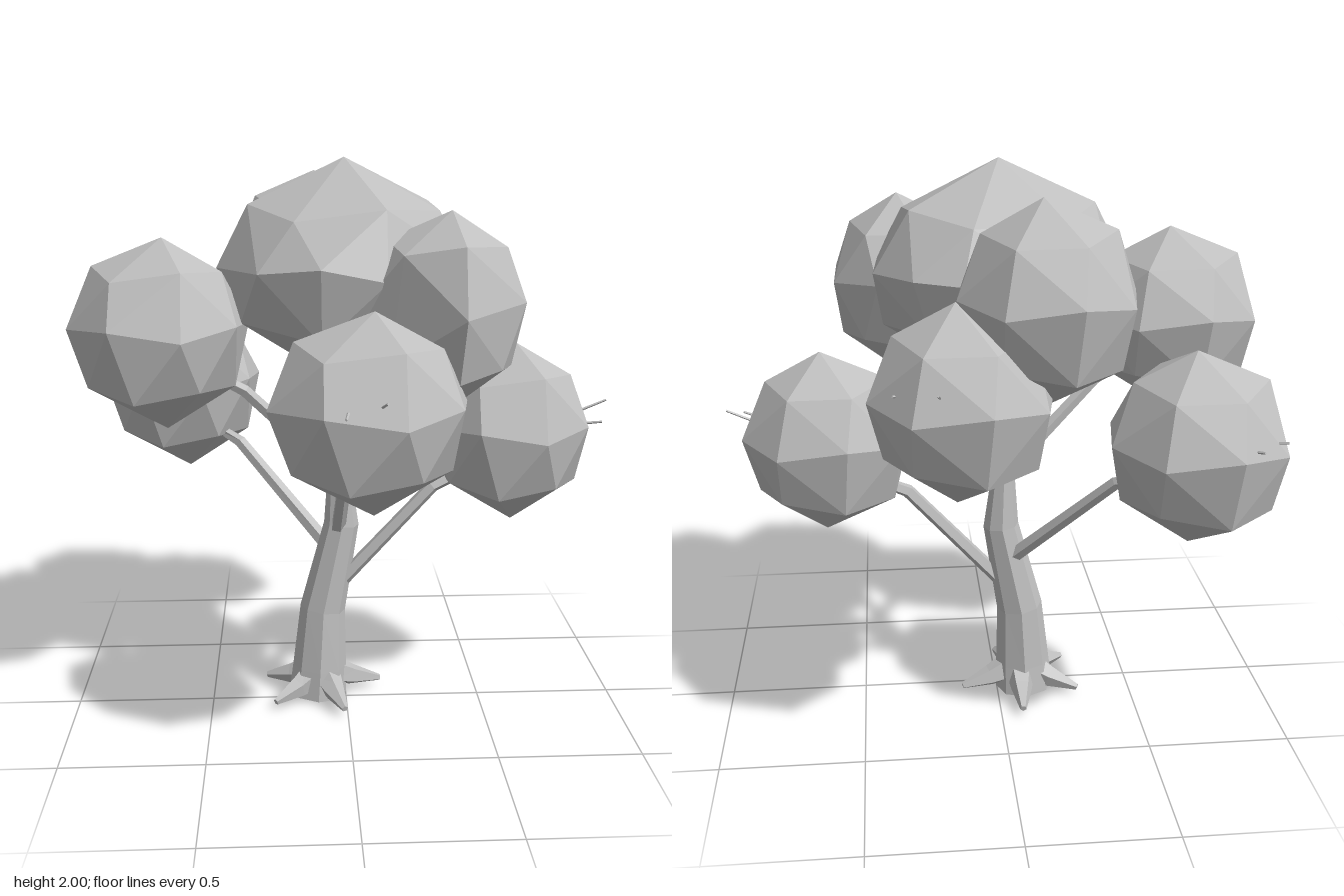
import * as THREE from 'three';
import { ConvexGeometry } from 'three/addons/geometries/ConvexGeometry.js';

const material = new THREE.MeshStandardMaterial({ color: 0xbfbfbf, flatShading: true });
material.name = 'plain grey';

// Tapered faceted limb through points [x, y, z, radius], closed at both ends
function limb(name, nodes, sides) {
  const centres = nodes.map(([x, y, z]) => new THREE.Vector3(x, y, z));
  const last = centres.length - 1;
  const along = centres[last].clone().sub(centres[0]).normalize();
  const ref = Math.abs(along.z) > 0.8 ? new THREE.Vector3(1, 0, 0) : new THREE.Vector3(0, 0, 1);
  const positions = [], index = [];
  centres.forEach((c, i) => {
    const t = centres[Math.min(i + 1, last)].clone().sub(centres[Math.max(i - 1, 0)]).normalize();
    const u = t.clone().cross(ref).normalize();
    const v = t.clone().cross(u);
    for (let k = 0; k < sides; k++) {
      const a = (k / sides) * Math.PI * 2;
      const p = c.clone().addScaledVector(u, Math.cos(a) * nodes[i][3]).addScaledVector(v, Math.sin(a) * nodes[i][3]);
      positions.push(p.x, p.y, p.z);
    }
  });
  const start = positions.length / 3;
  positions.push(...centres[0].toArray(), ...centres[last].toArray());
  for (let k = 0; k < sides; k++) {
    const n = (k + 1) % sides;
    for (let i = 0; i < last; i++) {
      const a = i * sides + k, b = i * sides + n;
      index.push(a, b, a + sides, b, b + sides, a + sides);
    }
    index.push(start, n, k, start + 1, last * sides + k, last * sides + n);
  }
  const indexed = new THREE.BufferGeometry();
  indexed.setAttribute('position', new THREE.Float32BufferAttribute(positions, 3));
  indexed.setIndex(index);
  const geometry = indexed.toNonIndexed();
  geometry.computeVertexNormals();
  const mesh = new THREE.Mesh(geometry, material);
  mesh.name = name;
  return mesh;
}

// Rings of a clump, top to bottom: height, radius, corner directions in degrees
const clumpRings = [
  [1, 0.06, [0]],
  [0.66, 0.72, [10, 65, 128, 185, 245, 305]],
  [0.1, 1, [-11, 29, 72, 117, 168, 214, 256, 303]],
  [-0.54, 0.83, [3, 55, 105, 155, 205, 257, 310]],
  [-1, 0.06, [0]],
];
const frontLeftRings = [
  [1, 0.06, [0]],
  [0.66, 0.74, [20, 80, 140, 195, 250, 310]],
  [0.1, 1, [-24, 25, 83, 169, 215, 252, 290]],
  [-0.54, 0.83, [0, 42, 85, 150, 205, 257, 310]],
  [-1, 0.06, [0]],
];
const crownRings = [
  [1, 0.06, [270]],
  [0.56, 0.75, [15, 68, 122, 178, 232, 288, 335]],
  [0.1, 1, [-17, 25, 74, 102, 132, 178, 219, 247, 289, 312]],
  [-0.41, 0.89, [0, 50, 103, 155, 205, 255, 308]],
  [-1, 0.06, [270]],
];

// Faceted leaf clump, pointed above and below, fitted to a box
function clump(name, min, max, rings = clumpRings) {
  const points = [];
  for (const [y, r, angles] of rings) {
    angles.forEach((degrees, k) => {
      const a = THREE.MathUtils.degToRad(degrees);
      const lift = 0.06 * Math.sin(k * 2.4);
      points.push(new THREE.Vector3(Math.cos(a) * r, y + lift, Math.sin(a) * r));
    });
  }
  const from = new THREE.Box3().setFromPoints(points);
  const size = from.getSize(new THREE.Vector3());
  for (const p of points) {
    p.sub(from.min).divide(size);
    p.set(...['x', 'y', 'z'].map((axis, i) => min[i] + p[axis] * (max[i] - min[i])));
  }
  const mesh = new THREE.Mesh(new ConvexGeometry(points), material);
  mesh.name = name;
  return mesh;
}

export function createModel() {
  const tree = new THREE.Group();
  tree.name = 'tree';

  // Bent trunk
  tree.add(limb('trunk', [
    [-0.105, 0.01, -0.04, 0.108], [-0.098, 0.12, -0.04, 0.1], [-0.085, 0.35, -0.045, 0.084],
    [-0.015, 0.68, -0.045, 0.064], [-0.025, 0.93, -0.045, 0.036],
  ], 8));

  // Pointed roots around the base
  for (const degrees of [-12, 70, 140, 205, 273]) {
    const a = THREE.MathUtils.degToRad(degrees);
    const at = (d, y, r) => [-0.09 + Math.cos(a) * d, y, -0.04 + Math.sin(a) * d, r];
    tree.add(limb('root', [at(0.05, 0.085, 0.055), at(0.12, 0.06, 0.04), at(0.228, 0.035, 0.012)], 5));
  }

  // Branches reaching into the clumps
  const branches = [
    [[-0.01, 0.46, -0.04, 0.028], [0.32, 0.82, -0.035, 0.025], [0.5, 0.9, -0.05, 0.018]],
    [[-0.04, 0.55, -0.07, 0.028], [-0.39, 0.93, -0.29, 0.023], [-0.5, 0.98, -0.38, 0.016]],
    [[-0.02, 0.86, -0.03, 0.026], [-0.36, 1.2, 0.04, 0.022], [-0.5, 1.28, 0.06, 0.016]],
    [[-0.03, 0.65, -0.03, 0.028], [-0.01, 1.03, 0.32, 0.023], [0.02, 1.09, 0.42, 0.016]],
    [[0.0, 0.92, -0.07, 0.022], [0.08, 1.14, -0.35, 0.02], [0.13, 1.22, -0.45, 0.016]],
    [[-0.02, 0.91, -0.05, 0.024], [-0.07, 1.38, -0.3, 0.02], [-0.09, 1.5, -0.4, 0.016]],
    [[-0.02, 0.88, -0.03, 0.024], [0.16, 1.22, 0.17, 0.02], [0.26, 1.38, 0.26, 0.016]],
  ];
  for (const nodes of branches) tree.add(limb('branch', nodes, 5));

  // Leaf clumps: name, lowest corner, highest corner
  const clumps = [
    ['crownClump', [-0.45, 1.2, -0.41], [0.42, 2.0, 0.39], crownRings],
    ['backUpperClump', [-0.4, 1.28, -0.8], [0.17, 1.94, -0.21]],
    ['backLeftClump', [-0.14, 0.99, -0.86], [0.45, 1.64, -0.26]],
    ['backRightClump', [-0.91, 0.79, -0.78], [-0.32, 1.45, -0.2]],
    ['rightClump', [-0.95, 1.08, -0.2], [-0.34, 1.74, 0.375]],
    ['frontLeftClump', [0.05, 1.18, 0.005], [0.56, 1.84, 0.58], frontLeftRings],
    ['frontClump', [-0.275, 0.89, 0.24], [0.365, 1.55, 0.815]],
    ['leftClump', [0.3, 0.69, -0.31], [0.89, 1.35, 0.225]],
  ];
  for (const entry of clumps) tree.add(clump(...entry));

  // Thin twigs poking out of the clumps
  const twigs = [
    [[-0.02, 1.3, 0.72], [-0.04, 1.28, 0.84]],
    [[0.06, 1.28, 0.72], [0.08, 1.33, 0.855]],
    [[0.78, 1.07, -0.03], [0.945, 1.14, -0.02]],
    [[0.8, 1.07, 0.06], [0.9, 1.09, 0.11]],
    [[-0.77, 1.18, -0.62], [-0.85, 1.2, -0.68]],
    [[-0.71, 1.18, -0.68], [-0.75, 1.2, -0.76]],
    [[0.22, 1.38, -0.74], [0.24, 1.43, -0.82]],
    [[0.33, 1.38, -0.66], [0.37, 1.4, -0.72]],
  ];
  for (const [a, b] of twigs) tree.add(limb('twig', [[...a, 0.006], [...b, 0.004]], 4));

  return tree;
}
